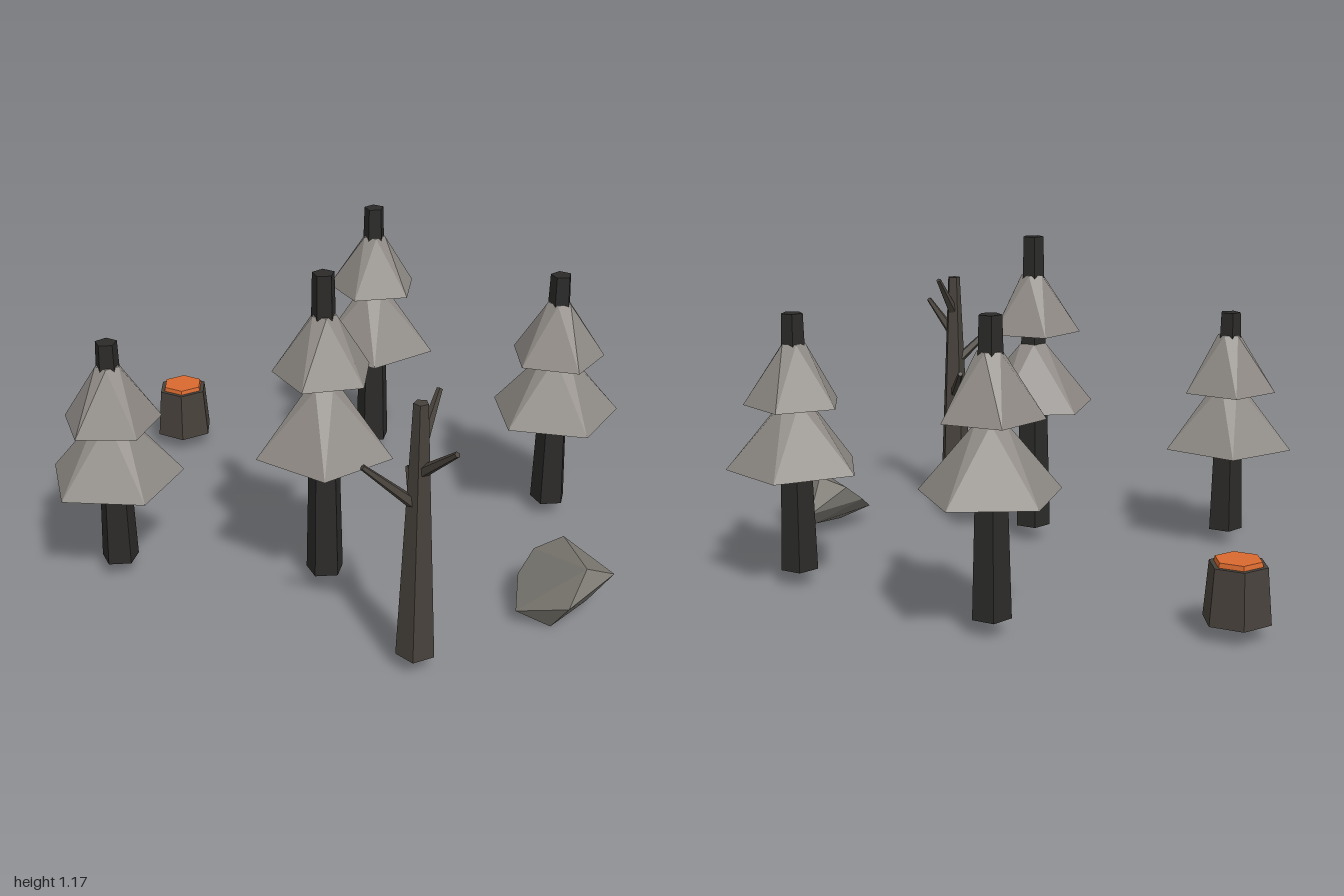
import * as THREE from 'three';
import { ConvexGeometry } from 'three/addons/geometries/ConvexGeometry.js';

const V = (x, y, z) => new THREE.Vector3(x, y, z);
const rad = THREE.MathUtils.degToRad;
const material = (color) => new THREE.MeshStandardMaterial({ color, flatShading: true });

export function createModel() {
  const model = new THREE.Group();
  const bark = material(0x2b2a29);
  const deadWood = material(0x47413b);
  const foliage = material(0x8f8a85);
  const stone = material(0x77746d);
  const cutWood = material(0xd9692f);
  const ground = 0.06;

  function add(parent, name, geometry, mat) {
    const mesh = new THREE.Mesh(geometry, mat);
    mesh.name = name;
    parent.add(mesh);
    return mesh;
  }

  function group(name, x, z) {
    const g = new THREE.Group();
    g.name = name;
    g.position.set(x, 0, z);
    model.add(g);
    return g;
  }

  // Tapered post; angle turns the first corner from +x towards +z
  function post(rTop, rBottom, y0, y1, sides, angle) {
    return new THREE.CylinderGeometry(rTop, rBottom, y1 - y0, sides, 1, false, rad(90 - angle))
      .translate(0, (y0 + y1) / 2, 0);
  }

  // Closed skirt: wide pentagon below, small pentagon above, turned by half a side
  function skirt(rTop, rBottom, y0, y1, angle) {
    const points = [];
    for (let i = 0; i < 5; i++) {
      const a = rad(angle + i * 72), b = a + Math.PI / 5;
      points.push(V(rBottom * Math.cos(a), y0, rBottom * Math.sin(a)));
      points.push(V(rTop * Math.cos(b), y1, rTop * Math.sin(b)));
    }
    return new ConvexGeometry(points);
  }

  // Conifers: position, top, skirt bottoms, skirt angles
  const conifers = [
    { x: 0.02, z: -0.73, top: 1.05, low: 0.47, high: 0.72, a: 10, b: 36 },
    { x: 0.755, z: -0.285, top: 0.975, low: 0.427, high: 0.655, a: 59, b: 62 },
    { x: -0.765, z: 0.365, top: 0.90, low: 0.385, high: 0.60, a: 50.5, b: 46 },
    { x: -0.022, z: 0.345, top: 1.18, low: 0.535, high: 0.82, a: 9.5, b: 34 },
  ];
  for (const t of conifers) {
    const tree = group('conifer', t.x, t.z);
    add(tree, 'trunk', post(0.039, 0.068, ground, t.top, 5, 41), bark);
    add(tree, 'lowerFoliage', skirt(0.05, 0.245, t.low, t.low + 0.24, t.a), foliage);
    add(tree, 'upperFoliage', skirt(0.043, 0.178, t.high, t.high + 0.215, t.b), foliage);
  }

  // Bare tree
  const bare = group('bareTree', 0.345, 0.82);
  add(bare, 'trunk', post(0.025, 0.067, ground, 0.96, 5, 20), deadWood);
  const branches = [
    [V(0, 0.60, 0), V(-0.17, 0.765, 0.07)],
    [V(0, 0.72, 0), V(0.12, 0.85, 0.113)],
    [V(0, 0.47, 0), V(-0.058, 0.605, -0.255)],
    [V(0, 0.81, 0), V(0.047, 0.96, -0.11)],
  ];
  for (const [from, to] of branches) {
    const dir = to.clone().sub(from);
    const length = dir.length();
    const branch = add(bare, 'branch', new THREE.CylinderGeometry(0.01, 0.022, length, 5), deadWood);
    branch.position.copy(from).lerp(to, 0.5);
    branch.quaternion.setFromUnitVectors(V(0, 1, 0), dir.normalize());
  }

  // Stump with a bright cut face
  const stump = group('stump', -0.77, -0.683);
  add(stump, 'stumpBark', post(0.1, 0.117, ground, 0.25, 6, 21), deadWood);
  add(stump, 'cutFace', post(0.08, 0.085, 0.245, 0.266, 6, 21), cutWood);

  // Faceted rock
  const rock = [
    V(0.82, 0.12, 0.175), V(0.96, 0.1, 0.35), V(0.983, 0.2, 0.48), V(0.837, 0.12, 0.597),
    V(0.66, 0.06, 0.535), V(0.66, 0.125, 0.40), V(0.71, 0.19, 0.33), V(0.81, 0.235, 0.31),
    V(0.89, 0.23, 0.51), V(0.78, 0.005, 0.53), V(0.82, 0.065, 0.24), V(0.90, 0.05, 0.42),
  ];
  add(model, 'rock', new ConvexGeometry(rock), stone);

  return model;
}
